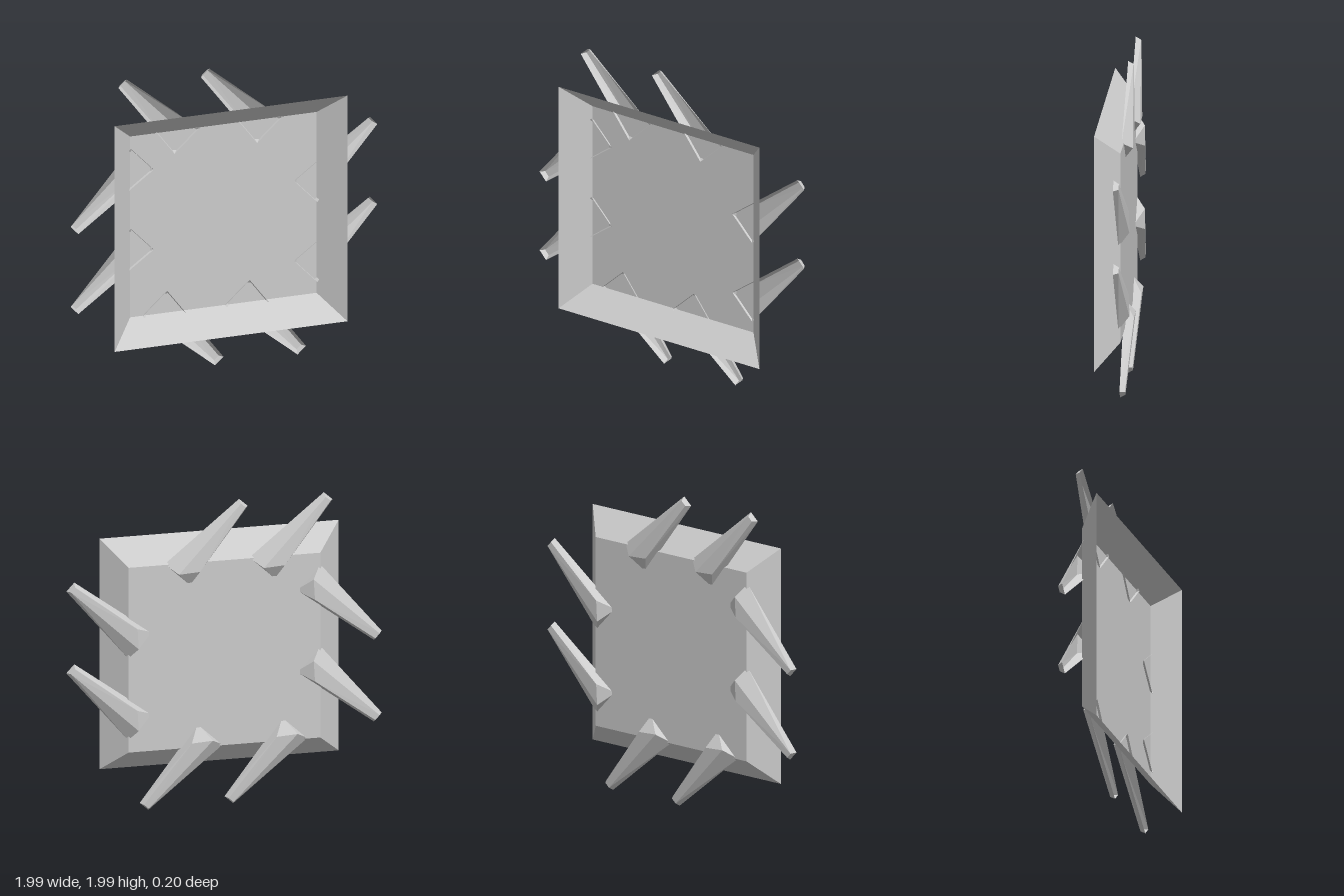
import * as THREE from 'three';

const material = new THREE.MeshStandardMaterial({
  color: 0xcccccc, flatShading: true, side: THREE.DoubleSide,
});

// Flat-faced shell from corner points and convex faces (fan-triangulated)
function shell(points, faces) {
  const pos = [];
  for (const f of faces) {
    for (let i = 1; i < f.length - 1; i++) {
      pos.push(...points[f[0]], ...points[f[i]], ...points[f[i + 1]]);
    }
  }
  const geo = new THREE.BufferGeometry();
  geo.setAttribute('position', new THREE.Float32BufferAttribute(pos, 3));
  geo.computeVertexNormals();
  return geo;
}

const square = (r, z) => [[-r, -r, z], [r, -r, z], [r, r, z], [-r, r, z]];

export function createModel() {
  const model = new THREE.Group();
  model.position.y = 1.005;

  // Shallow square tray, open to the front, with sloping walls
  const walls = [0, 1, 2, 3].map((i) => [i, (i + 1) % 4, 4 + (i + 1) % 4, 4 + i]);
  const tray = new THREE.Mesh(
    shell([...square(0.755, 0.1), ...square(0.605, -0.05)], [...walls, [4, 5, 6, 7]]), material);
  tray.name = 'tray';
  model.add(tray);

  // Slanted tapering hollow spike, open to the front, with a bevelled inner end
  const front = -0.037, back = -0.1, tipBack = -0.07;
  const spikeGeo = shell([
    [-0.32, 0.455, front], [-0.16, 0.605, front], // inner end, rim
    [-0.63, 0.995, front], [-0.685, 0.945, front], // tip, rim
    [-0.37, 0.56, back], [-0.237, 0.552, back], // inner end, back
    [-0.635, 0.975, tipBack], [-0.665, 0.948, tipBack], // tip, back
  ], [
    [0, 5, 4], [0, 1, 5], // bevel and end wall
    [1, 2, 6, 5], [3, 0, 4, 7], // side walls
    [2, 3, 7, 6], [4, 5, 6, 7], // tip and back
  ]);

  // Two spikes per side, turned around the tray; the top pair sits further along
  ['top', 'right', 'bottom', 'left'].forEach((side, k) => {
    const pair = new THREE.Group();
    pair.name = side + 'Spikes';
    pair.rotation.z = -k * Math.PI / 2;
    for (let i = 0; i < 2; i++) {
      const spike = new THREE.Mesh(spikeGeo, material);
      spike.name = 'spike';
      spike.position.x = i * 0.535 + (k === 0 ? 0 : 0.153);
      pair.add(spike);
    }
    model.add(pair);
  });

  const root = new THREE.Group();
  root.name = 'spikedTray';
  root.add(model);
  return root;
}
